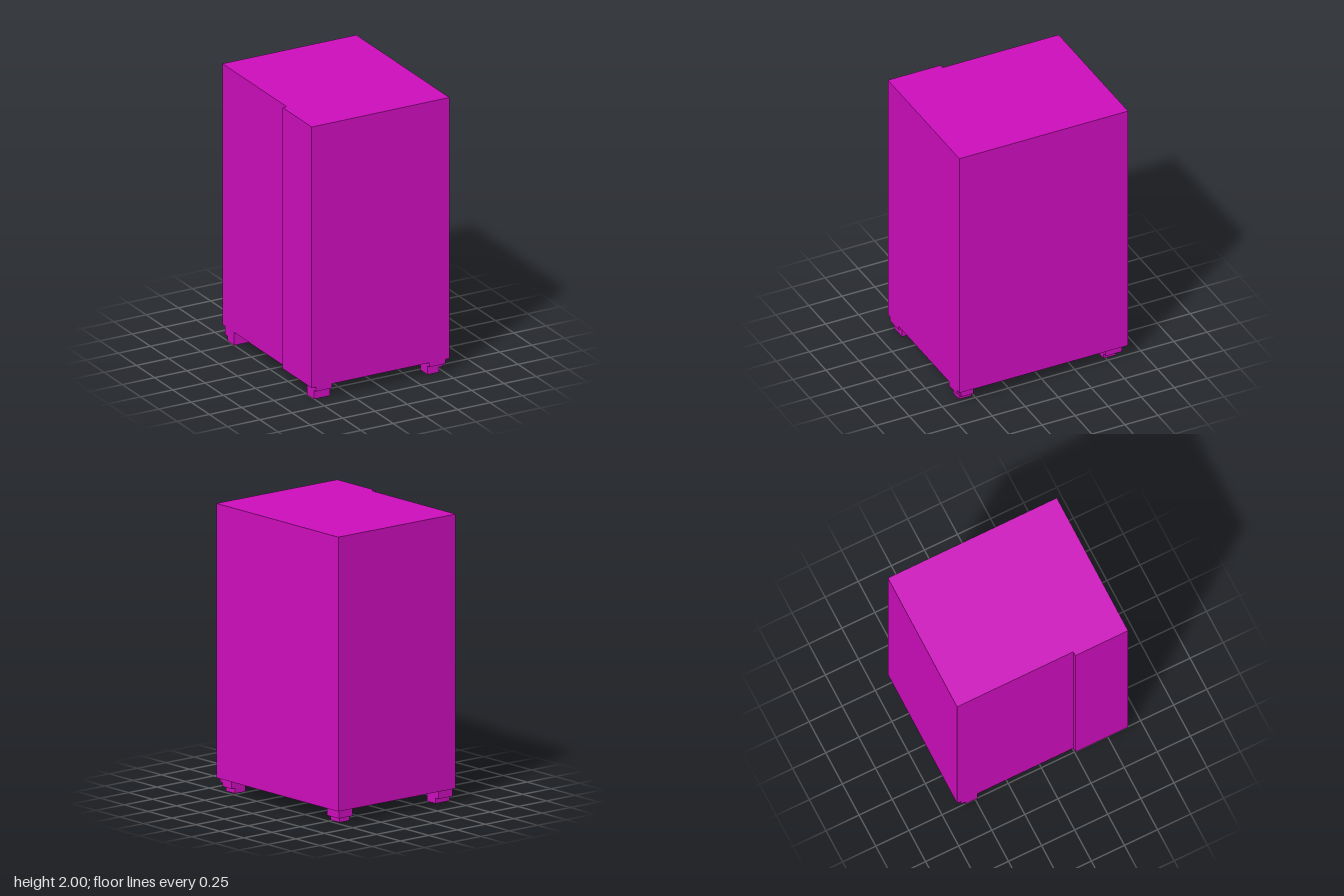
import * as THREE from 'three';

export function createModel() {
  const model = new THREE.Group();
  model.name = 'cabinet';
  const magenta = new THREE.MeshStandardMaterial({ color: 0xcc0dbb });
  magenta.name = 'magenta';

  // Cabinet body: plan outline (x, -z) with a shallow step on one side
  const bottom = 0.097;
  const plan = new THREE.Shape([
    [-0.535, -0.638], [0.532, -0.638], [0.532, 0.638],
    [-0.504, 0.638], [-0.504, -0.24], [-0.535, -0.24],
  ].map(([x, y]) => new THREE.Vector2(x, y)));
  const bodyGeometry = new THREE.ExtrudeGeometry(plan, { depth: 2 - bottom, bevelEnabled: false });
  bodyGeometry.rotateX(-Math.PI / 2).translate(0, bottom, 0);
  const body = new THREE.Mesh(bodyGeometry, magenta);
  body.name = 'body';
  model.add(body);

  // Stepped feet: each layer is a box between two corners
  function foot(name, layers) {
    const group = new THREE.Group();
    group.name = name;
    for (const [x0, x1, y0, y1, z0, z1] of layers) {
      const layer = new THREE.Mesh(new THREE.BoxGeometry(x1 - x0, y1 - y0, z1 - z0), magenta);
      layer.position.set((x0 + x1) / 2, (y0 + y1) / 2, (z0 + z1) / 2);
      layer.name = 'footLayer';
      group.add(layer);
    }
    model.add(group);
  }
  const low = 0.037, mid = 0.065;
  foot('frontLeftFoot', [
    [0.378, 0.5, mid, bottom, 0.516, 0.638],
    [0.378, 0.5, low, mid, 0.516, 0.61],
    [0.378, 0.469, 0, low, 0.516, 0.61],
  ]);
  foot('frontRightFoot', [
    [-0.502, -0.379, mid, bottom, 0.516, 0.638],
    [-0.502, -0.379, 0, mid, 0.516, 0.61],
  ]);
  foot('backLeftFoot', [
    [0.378, 0.5, low, bottom, -0.606, -0.484],
    [0.378, 0.469, 0, low, -0.575, -0.484],
  ]);
  foot('backRightFoot', [
    [-0.502, -0.379, low, bottom, -0.606, -0.484],
    [-0.502, -0.379, 0, low, -0.575, -0.484],
  ]);
  return model;
}
